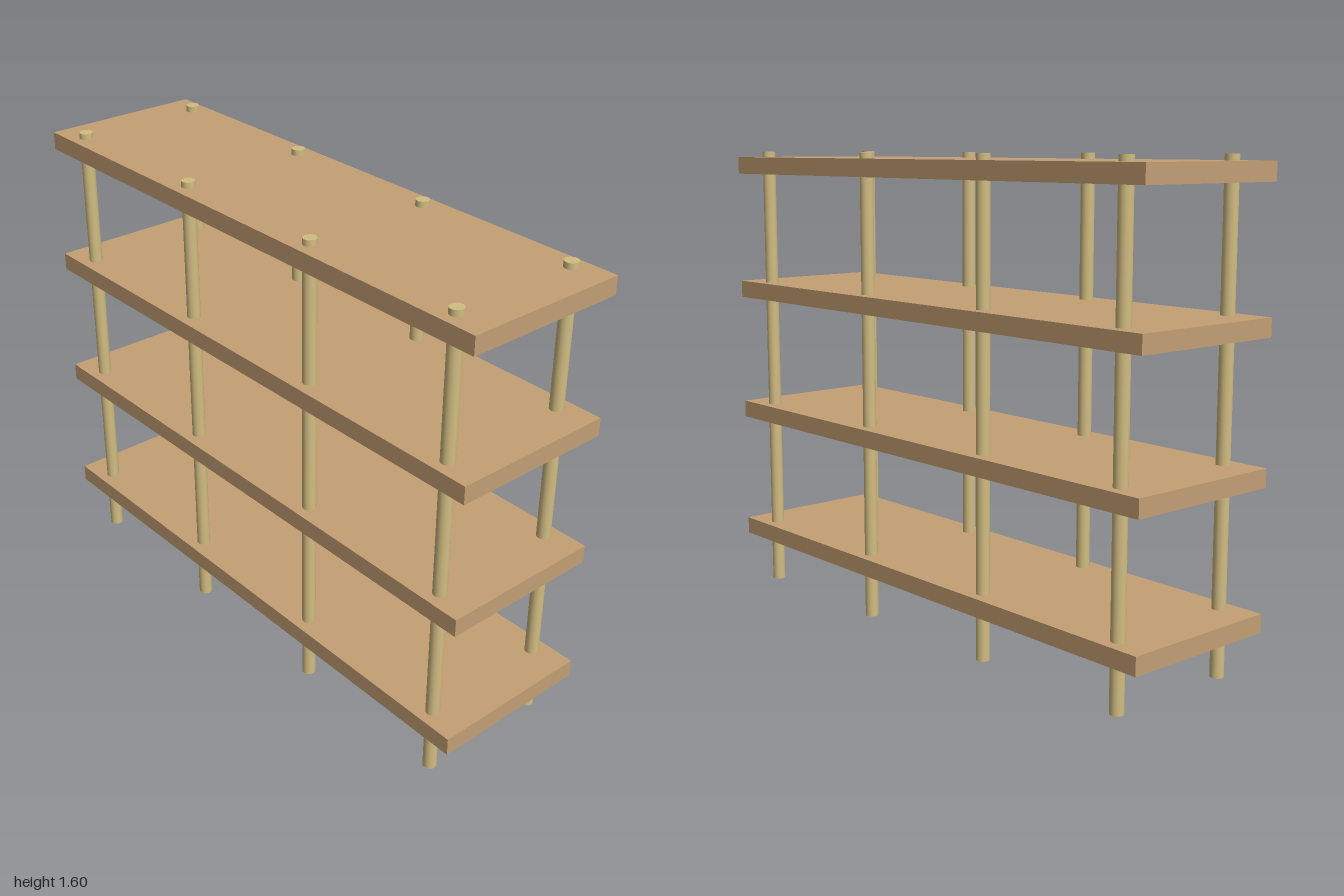
import * as THREE from 'three';

const HEIGHT = 1.6;
const POST_RADIUS = 0.0225;

export function createModel() {
  const model = new THREE.Group();
  model.name = 'shelvingUnit';

  const shelfWood = new THREE.MeshStandardMaterial({ color: 0xc49f74 });
  shelfWood.name = 'shelf wood';
  const postWood = new THREE.MeshStandardMaterial({ color: 0xd2bd82 });
  postWood.name = 'pale post wood';

  // Four evenly spaced boards
  const boardGeometry = new THREE.BoxGeometry(2, 0.06, 0.56);
  for (let i = 0; i < 4; i++) {
    const shelf = new THREE.Mesh(boardGeometry, shelfWood);
    shelf.name = `shelf${i + 1}`;
    shelf.position.y = THREE.MathUtils.lerp(0.19, 1.55, i / 3);
    model.add(shelf);
  }

  // Two rows of round posts running through every board
  const postGeometry = new THREE.CylinderGeometry(POST_RADIUS, POST_RADIUS, HEIGHT, 24);
  for (const [row, z] of [['front', 0.225], ['back', -0.225]]) {
    for (let i = 0; i < 4; i++) {
      const post = new THREE.Mesh(postGeometry, postWood);
      post.name = `${row}Post${i + 1}`;
      post.position.set(THREE.MathUtils.lerp(-0.88, 0.88, i / 3), HEIGHT / 2, z);
      model.add(post);
    }
  }

  return model;
}
